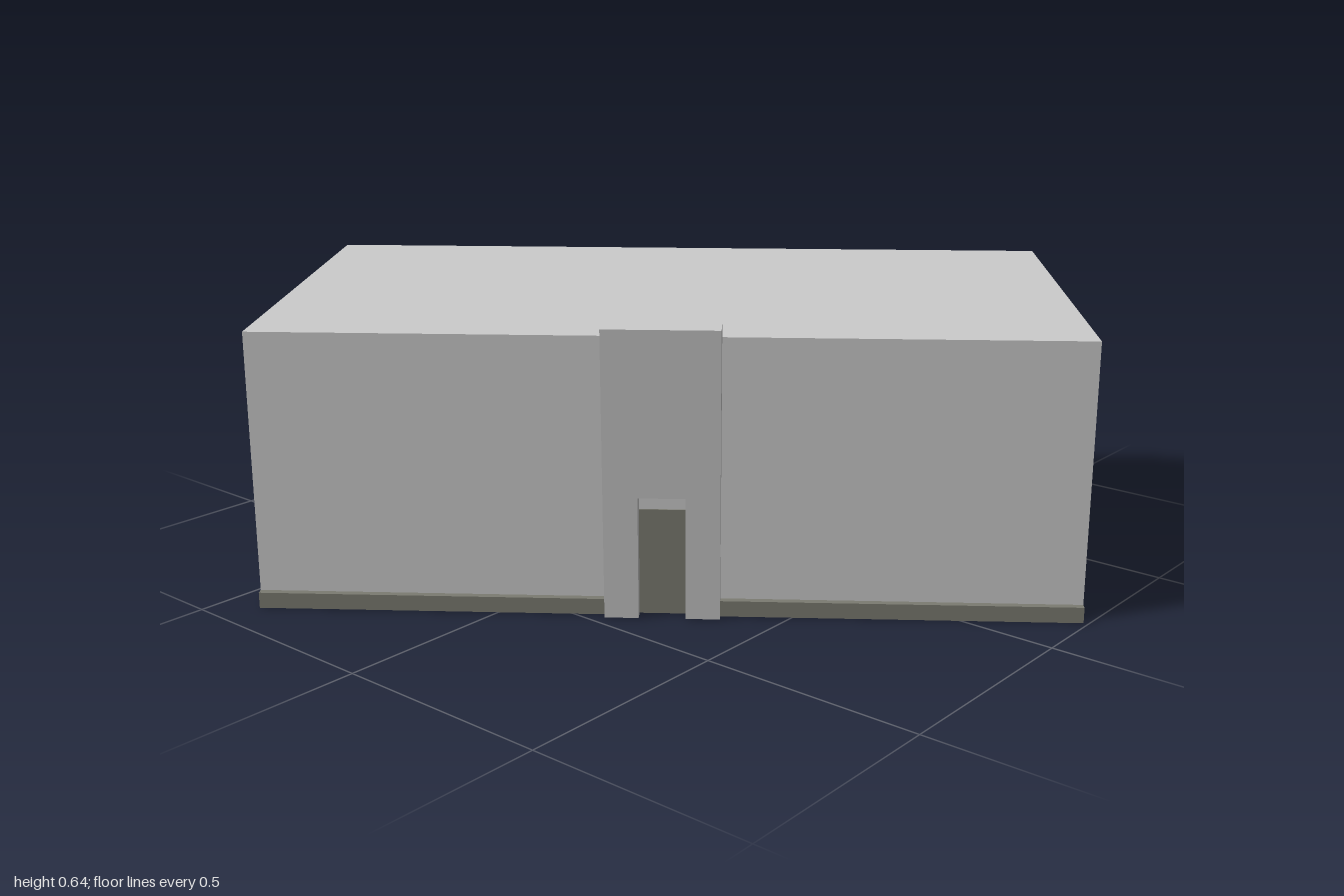
import * as THREE from 'three';

export function createModel() {
  const model = new THREE.Group();
  model.name = 'building';
  const hall = new THREE.Group();
  hall.name = 'hall';
  hall.rotation.y = 0.652; // the hall stands at an angle to the plot
  model.add(hall);

  const wallGrey = new THREE.MeshStandardMaterial({ color: 0xcccccc });
  wallGrey.name = 'wallGrey';
  const stoneGrey = new THREE.MeshStandardMaterial({ color: 0x7c7c72 });
  stoneGrey.name = 'stoneGrey';

  // box given by its limits along the hall (x), up (y) and across (z)
  function block(name, mat, x0, x1, y0, y1, z0, z1) {
    const mesh = new THREE.Mesh(new THREE.BoxGeometry(x1 - x0, y1 - y0, z1 - z0), mat);
    mesh.position.set((x0 + x1) / 2, (y0 + y1) / 2, (z0 + z1) / 2);
    mesh.name = name;
    hall.add(mesh);
  }

  // slice of the porch, whose front face leans outwards towards the top
  const faceZ = (y) => 0.493 + 0.035 * (y / 0.64);
  function porchSlice(name, x0, x1, y0, y1) {
    const shape = new THREE.Shape([
      new THREE.Vector2(0.442, y0), new THREE.Vector2(faceZ(y0), y0),
      new THREE.Vector2(faceZ(y1), y1), new THREE.Vector2(0.442, y1),
    ]);
    const geo = new THREE.ExtrudeGeometry(shape, { depth: x1 - x0, bevelEnabled: false });
    geo.rotateY(-Math.PI / 2);
    geo.translate(x1, 0, 0);
    const mesh = new THREE.Mesh(geo, mat(name));
    mesh.name = name;
    hall.add(mesh);
  }
  const mat = () => wallGrey;

  // main volume with flat roof
  block('mainHall', wallGrey, -0.882, 0.882, 0, 0.61, -0.488, 0.46);

  // low plinth on both sides of the porch
  block('rightPlinth', stoneGrey, -0.882, -0.133, 0, 0.035, 0.455, 0.476);
  block('leftPlinth', stoneGrey, 0.113, 0.882, 0, 0.035, 0.455, 0.476);

  // porch tower around the door opening
  porchSlice('rightPier', -0.133, -0.06, 0, 0.64);
  porchSlice('leftPier', 0.04, 0.113, 0, 0.64);
  porchSlice('lintel', -0.06, 0.04, 0.275, 0.64);

  // recessed door
  block('door', stoneGrey, -0.06, 0.04, 0, 0.235, 0.458, 0.464);

  return model;
}
